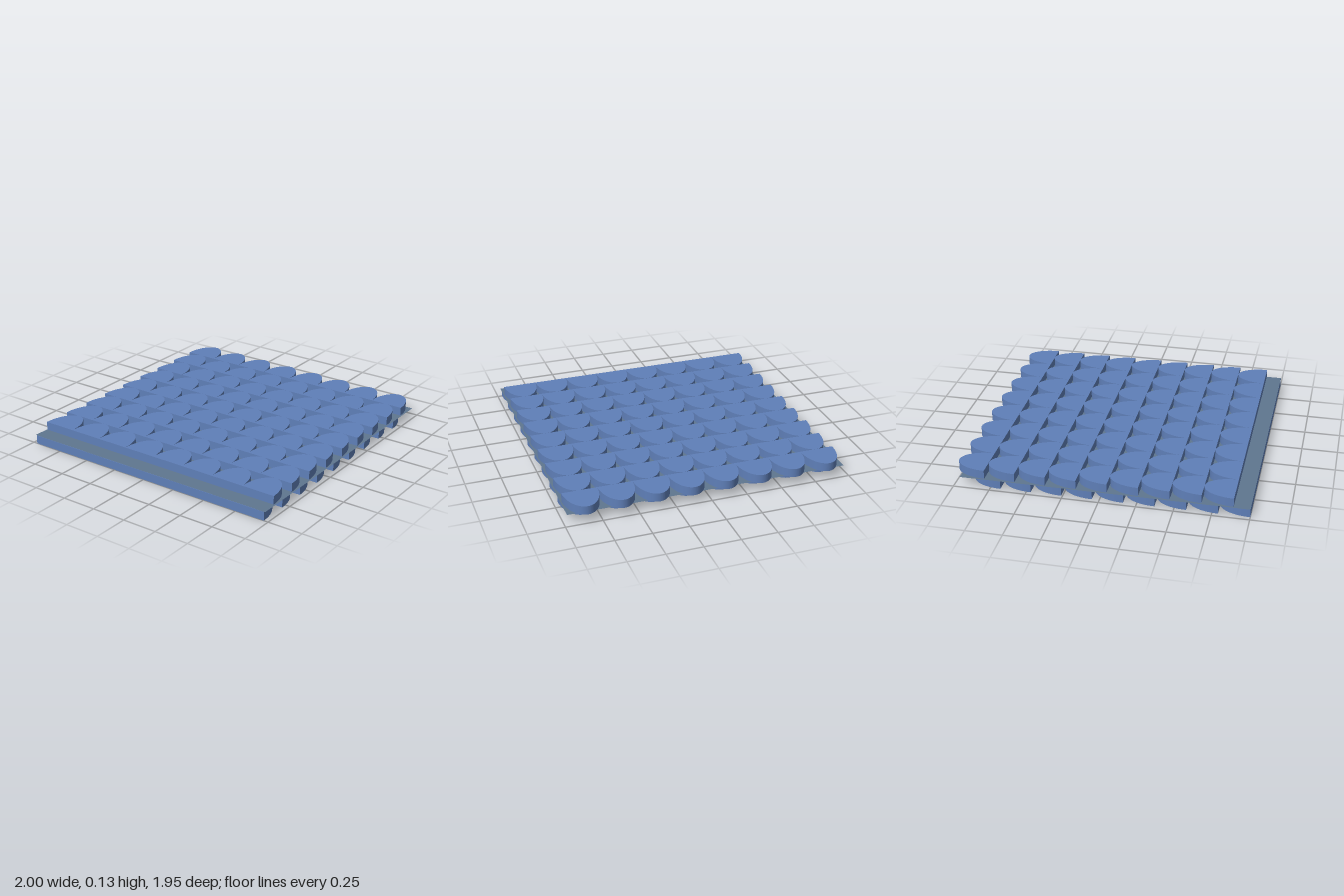
import * as THREE from 'three';

const ROWS = 9, COLUMNS = 8;
const LENGTH = 0.21;      // scale length along x, also the row spacing
const WIDTH = 0.242;      // scale width along z
const THICK = 0.061;

// Half-ellipse plate with its flat end at x = 0 and its tip toward +x
function scaleGeometry() {
  const shape = new THREE.Shape();
  shape.moveTo(0, -WIDTH / 2);
  shape.absellipse(0, 0, LENGTH, WIDTH / 2, -Math.PI / 2, Math.PI / 2, false, 0);
  shape.closePath();
  const geometry = new THREE.ExtrudeGeometry(shape, { depth: THICK, bevelEnabled: false, curveSegments: 32 });
  return geometry.rotateX(-Math.PI / 2);
}

// Grid of scales starting at startX, resting on height y
function scaleLayer(name, geometry, material, startX, y) {
  const layer = new THREE.Group();
  layer.name = name;
  for (let r = 0; r < ROWS; r++) {
    const row = new THREE.Group();
    row.name = 'scaleRow';
    for (let c = 0; c < COLUMNS; c++) {
      const scale = new THREE.Mesh(geometry, material);
      scale.name = 'scale';
      scale.position.z = (c - (COLUMNS - 1) / 2) * WIDTH;
      row.add(scale);
    }
    row.position.x = startX + r * LENGTH;
    layer.add(row);
  }
  layer.position.y = y;
  return layer;
}

export function createModel() {
  const scaleBlue = new THREE.MeshStandardMaterial({ color: 0x5f7fb8 });
  const backingGrey = new THREE.MeshStandardMaterial({ color: 0x5f768f, side: THREE.DoubleSide });
  scaleBlue.name = 'scaleBlue';
  backingGrey.name = 'backingGrey';

  const model = new THREE.Group();
  model.name = 'scaleArmorPanel';
  const geometry = scaleGeometry();

  // Two layers, the upper one shifted by half a row
  model.add(scaleLayer('lowerScales', geometry, scaleBlue, -1, 0));
  model.add(scaleLayer('upperScales', geometry, scaleBlue, -0.89, 0.065));

  // Thin backing sheet between the layers
  const sheet = new THREE.Mesh(new THREE.PlaneGeometry(1.96, 1.954).rotateX(-Math.PI / 2), backingGrey);
  sheet.name = 'backingSheet';
  sheet.position.set(-0.02, 0.063, 0);
  model.add(sheet);

  return model;
}
